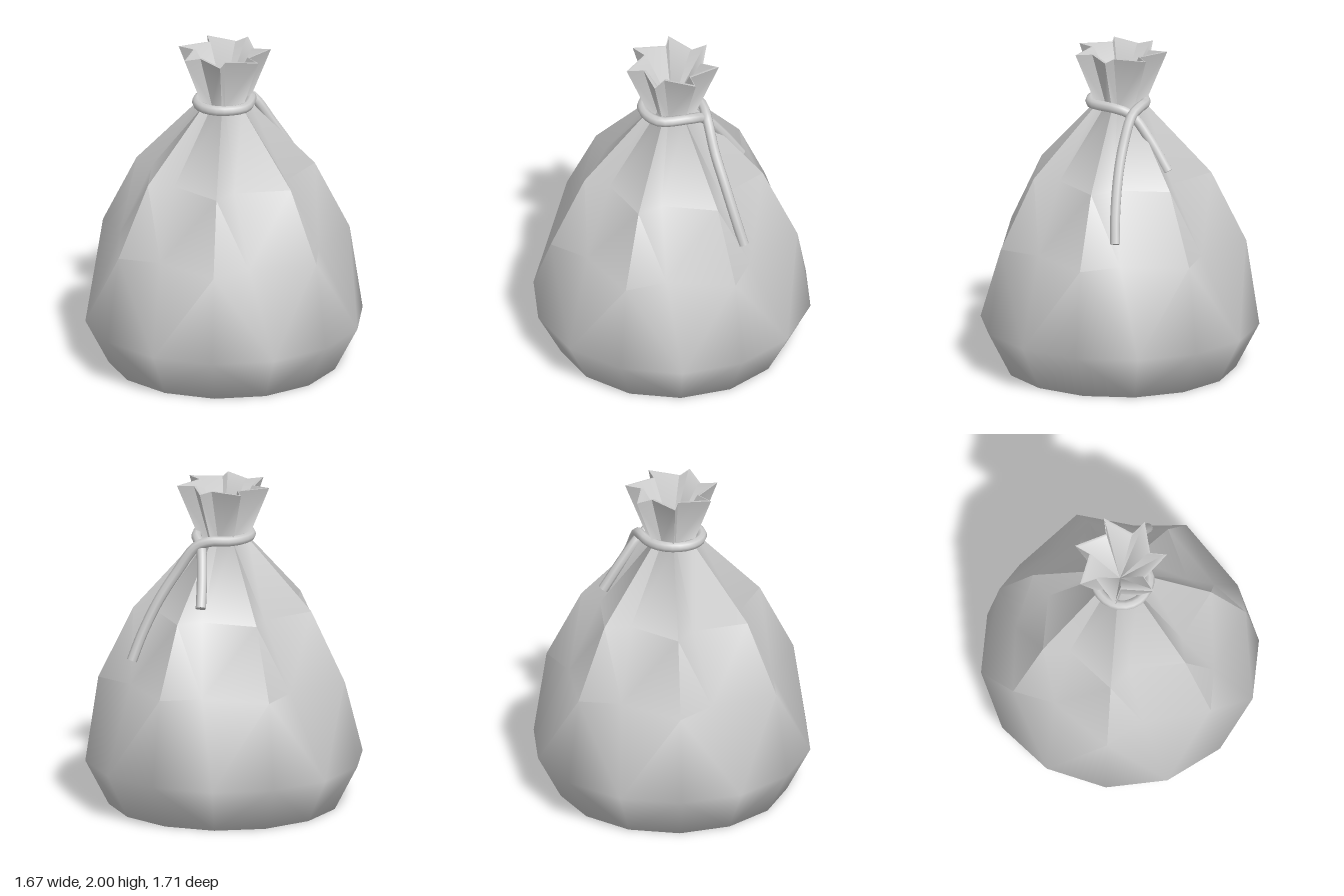
import * as THREE from 'three';
import { toCreasedNormals } from 'three/addons/utils/BufferGeometryUtils.js';

const FOLDS = 7;
const COLS = FOLDS * 2;

// Rings from bottom to mouth: height, pleat tip radius, valley radius,
// and how many degrees each valley lies past its tip.
const RINGS = [
  [0, 0.71, 0.71, 25.71],
  [0.28, 0.855, 0.855, 25.71],
  [0.81, 0.775, 0.637, 18.5],
  [1.24, 0.56, 0.44, 13],
  [1.67, 0.155, 0.1, 9],
  [2, 0.29, 0.19, 7],
  [2, 0.268, 0.175, 7.5], // inner lip
];

function sackGeometry() {
  const ring = ([y, tip, valley, offset]) =>
    Array.from({ length: COLS }, (_, j) => {
      const odd = j % 2;
      const a = THREE.MathUtils.degToRad(Math.floor(j / 2) * 360 / FOLDS + odd * offset);
      const r = odd ? valley : tip;
      return [r * Math.sin(a), y, r * Math.cos(a)];
    });
  const rings = RINGS.map(ring);
  const inner = rings[rings.length - 1];
  const pos = [];
  const tri = (a, b, c) => pos.push(...a, ...b, ...c);

  for (let j = 0; j < COLS; j++) {
    const k = (j + 1) % COLS;
    // Flat bottom and the funnel inside the mouth
    tri([0, 0, 0], rings[0][k], rings[0][j]);
    tri(inner[j], inner[k], [0, 1.68, 0]);
    // Walls, with diagonals running from upper tip to lower valley
    for (let i = 0; i < rings.length - 1; i++) {
      const a = rings[i][j], b = rings[i][k];
      const c = rings[i + 1][k], d = rings[i + 1][j];
      if (j % 2 === 0) {
        tri(a, b, d);
        tri(b, c, d);
      } else {
        tri(a, b, c);
        tri(a, c, d);
      }
    }
  }
  const g = new THREE.BufferGeometry();
  g.setAttribute('position', new THREE.Float32BufferAttribute(pos, 3));
  return toCreasedNormals(g, 1.2);
}

export function createModel() {
  const model = new THREE.Group();
  model.name = 'tiedSack';
  const material = new THREE.MeshStandardMaterial({ color: 0xcccccc });
  const add = (name, geometry, parent = model) => {
    const mesh = new THREE.Mesh(geometry, material);
    mesh.name = name;
    parent.add(mesh);
    return mesh;
  };

  add('sack', sackGeometry());

  // Cord: front tail, loop around the neck, then the crossing back tail
  const points = [
    [0.565, 0.95, 0.24], [0.5, 1.11, 0.215], [0.41, 1.31, 0.165],
    [0.32, 1.48, 0.1], [0.235, 1.65, 0.01], [0.175, 1.685, -0.07],
  ];
  for (let i = 1; i <= 8; i++) {
    const a = THREE.MathUtils.degToRad(112 + i * 31);
    points.push([0.18 * Math.sin(a), 1.68, 0.012 + 0.167 * Math.cos(a)]);
  }
  points.push([0.16, 1.68, 0.08], [0.205, 1.645, 0], [0.29, 1.5, -0.09], [0.385, 1.32, -0.17]);

  const cord = new THREE.Group();
  cord.name = 'cord';
  model.add(cord);
  const path = new THREE.CatmullRomCurve3(points.map((p) => new THREE.Vector3(...p)));
  const radius = 0.032;
  add('cordLoopAndTails', new THREE.TubeGeometry(path, 56, radius, 8), cord);

  // Flat cord ends
  for (const [t, sign] of [[0, -1], [1, 1]]) {
    const cap = add('cordEnd', new THREE.CircleGeometry(radius, 8), cord);
    const p = path.getPointAt(t);
    cap.position.copy(p);
    cap.lookAt(p.clone().addScaledVector(path.getTangentAt(t), sign));
  }
  return model;
}
